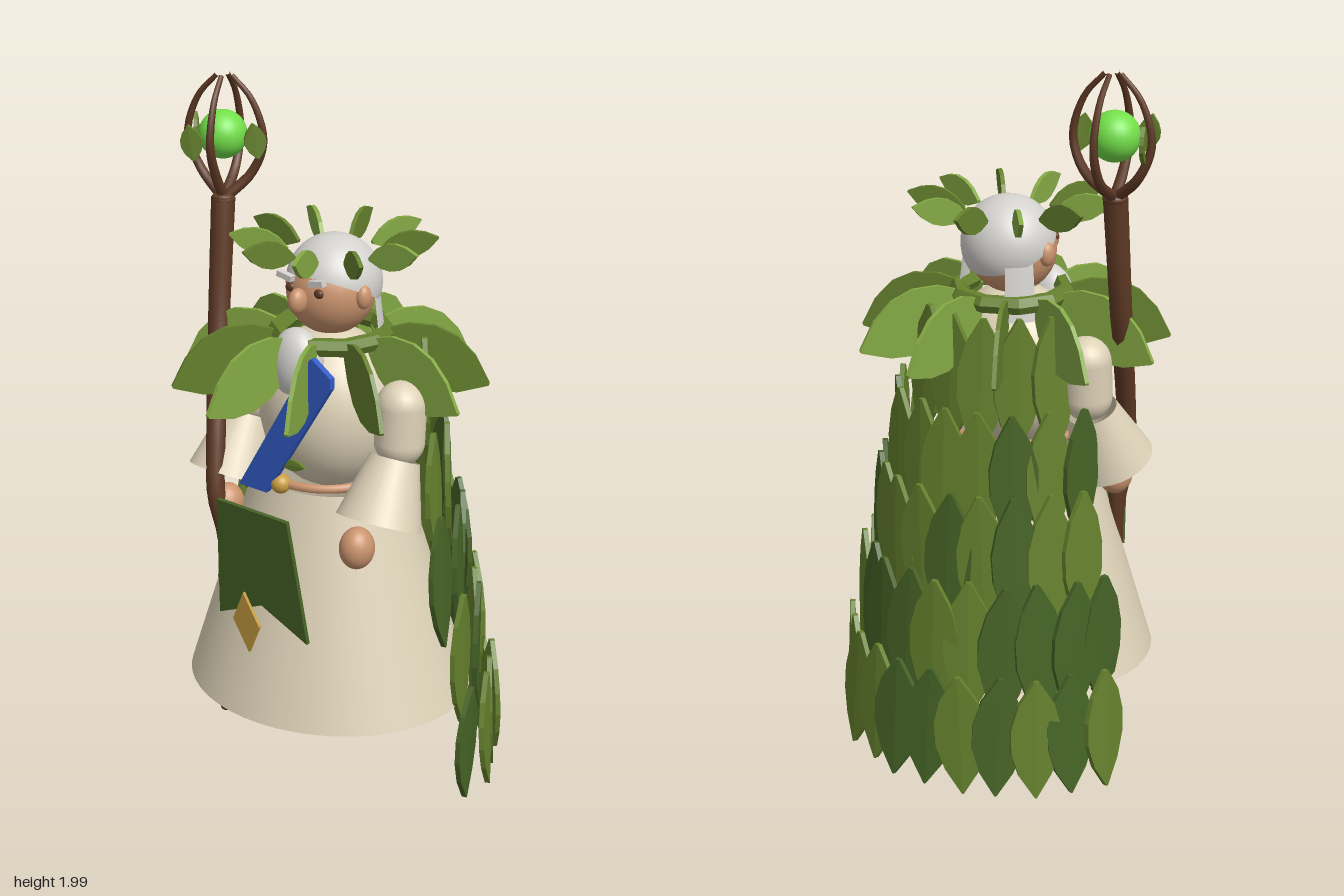
import * as THREE from 'three';
import { RoundedBoxGeometry } from 'three/addons/geometries/RoundedBoxGeometry.js';

const V = (x, y, z) => new THREE.Vector3(x, y, z);
const shapeOf = (points) => new THREE.Shape(points.map((q) => new THREE.Vector2(...q)));
const paint = (name, color, extra = {}) => {
  const m = new THREE.MeshStandardMaterial({ color, ...extra });
  m.name = name;
  return m;
};

// Leaf along y, tip at +y, thin in z, folded along its midrib
function leafGeometry(length, width, thick, fold) {
  const g = new THREE.BoxGeometry(1, 1, 1, 2, 5, 1);
  const widths = [0.1, 0.72, 1, 0.98, 0.66, 0.04];
  const p = g.attributes.position;
  for (let i = 0; i < p.count; i++) {
    const row = Math.round((p.getY(i) + 0.5) * 5);
    const x = p.getX(i) * width * widths[row];
    p.setXYZ(i, x, p.getY(i) * length, p.getZ(i) * thick - Math.abs(x) * fold);
  }
  g.computeVertexNormals();
  return g;
}

export function createModel() {
  const model = new THREE.Group();
  const cream = paint('cream cloth', 0xded2b8, { side: THREE.DoubleSide });
  const skin = paint('skin', 0xcb946e);
  const wood = paint('brown wood', 0x5f3a25);
  const grey = paint('grey hair', 0xd4d2ce, { side: THREE.DoubleSide });
  const blue = paint('blue sash', 0x315cc6);
  const gold = paint('gold', 0xcaa042);
  const glow = paint('bright green orb', 0x74e04a);
  const dark = paint('dark leaf', 0x466426, { flatShading: true });
  const mid = paint('mid leaf', 0x66822e, { flatShading: true });
  const light = paint('light leaf', 0x85aa45, { flatShading: true });

  let seed = 7;
  const rand = () => (seed = (seed * 16807) % 2147483647) / 2147483647;

  function add(name, geo, mat, x = 0, y = 0, z = 0, parent = model) {
    const m = new THREE.Mesh(geo, mat);
    m.name = name;
    m.position.set(x, y, z);
    parent.add(m);
    return m;
  }
  function ball(name, mat, x, y, z, rx, ry = rx, rz = rx) {
    const m = add(name, new THREE.SphereGeometry(1, 28, 18), mat, x, y, z);
    m.scale.set(rx, ry, rz);
    return m;
  }
  // Frustum between two points, open at the ends
  function frustum(name, mat, a, b, ra, rb) {
    const m = add(name, new THREE.CylinderGeometry(rb, ra, a.distanceTo(b), 28, 1, true), mat);
    m.position.copy(a).lerp(b, 0.5);
    m.quaternion.setFromUnitVectors(V(0, 1, 0), b.clone().sub(a).normalize());
  }
  // Tube whose radius runs from r0 to r1
  function taper(name, mat, points, r0, r1, steps, sides) {
    const curve = new THREE.CatmullRomCurve3(points);
    const g = new THREE.TubeGeometry(curve, steps, 1, sides);
    const p = g.attributes.position;
    for (let i = 0; i < p.count; i++) {
      const t = Math.floor(i / (sides + 1)) / steps;
      const c = curve.getPointAt(t);
      const v = V(0, 0, 0).fromBufferAttribute(p, i).sub(c).multiplyScalar(r0 + (r1 - r0) * t).add(c);
      p.setXYZ(i, v.x, v.y, v.z);
    }
    add(name, g, mat);
  }
  // Ring of upright leaves pointing outward; tilt is upward
  function leafRing(name, count, r, y, z, length, width, tilt, mats) {
    const geo = leafGeometry(length, width, 0.012, 0);
    const ring = new THREE.Group();
    ring.name = name;
    ring.position.set(0, y, z);
    model.add(ring);
    for (let i = 0; i < count; i++) {
      const spoke = new THREE.Group();
      spoke.rotation.y = -(i / count) * Math.PI * 2;
      ring.add(spoke);
      add('leaf', geo, mats[i % mats.length], r, 0, 0, spoke).rotation.z = tilt - Math.PI / 2;
    }
  }

  // Robe: open skirt and rounded body
  const skirt = add('robeSkirt', new THREE.CylinderGeometry(0.22, 0.425, 0.64, 48, 1, true), cream, 0, 0.605, 0.02);
  skirt.scale.z = 0.89;
  ball('robeBody', cream, 0, 1.12, 0.02, 0.202, 0.235, 0.19);

  // Belt and buckle
  const belt = add('belt', new THREE.TorusGeometry(0.183, 0.013, 8, 40), skin, 0, 0.94, 0.025);
  belt.rotation.x = Math.PI / 2;
  ball('buckle', gold, -0.01, 0.94, 0.218, 0.028);

  // Diagonal sash
  const sash = shapeOf([[-0.145, 0.91], [-0.045, 0.91], [0.185, 1.27], [0.185, 1.3], [0.125, 1.34], [0.115, 1.34]]);
  add('sash', new THREE.ExtrudeGeometry(sash, { depth: 0.018, bevelEnabled: false }), blue, 0, 0, 0.222);

  // Hanging front panel with a notched hem, and its diamond
  const panel = shapeOf([[-0.13, 0], [-0.165, -0.375], [0, -0.3], [0.158, -0.375], [0.122, 0]]);
  add('frontPanel', new THREE.ExtrudeGeometry(panel, { depth: 0.012, bevelEnabled: false }), dark, 0, 0.905, 0.338).rotation.x = 0.11;
  const diamond = shapeOf([[-0.048, 0], [0, -0.097], [0.048, 0], [0, 0.097]]);
  add('diamond', new THREE.ExtrudeGeometry(diamond, { depth: 0.009, bevelEnabled: false }), gold, -0.005, 0.575, 0.368).rotation.x = 0.11;

  // Arms, hands and boots
  for (const s of [-1, 1]) {
    const arm = add('upperSleeve', new THREE.CapsuleGeometry(0.07, 0.1, 8, 24), cream, s * 0.268, 1.135, 0.042);
    arm.rotation.x = -0.06;
    frustum('flaredSleeve', cream, V(s * 0.268, 1.04, 0.065), V(s * 0.272, 0.875, 0.138), 0.07, 0.12);
    ball('hand', skin, s * 0.238, 0.808, 0.19, 0.048, 0.06, 0.052);
    add('boot', new RoundedBoxGeometry(0.118, 0.1, 0.24, 2, 0.03), wood, s * 0.122, 0.265, 0.06);
    add('leg', new THREE.CylinderGeometry(0.05, 0.05, 0.2, 12), wood, s * 0.122, 0.38, 0);
  }

  // Head, hair and beard
  ball('head', skin, 0, 1.455, 0.012, 0.124);
  const hair = add('hairCap', new THREE.SphereGeometry(0.133, 32, 20, 0, Math.PI * 2, 0, Math.PI * 0.54), grey, 0, 1.475, -0.002);
  hair.rotation.x = -0.45;
  for (const s of [-1, 1]) {
    const start = s > 0 ? Math.PI * 0.56 : Math.PI * 1.24;
    add('sideHair', new THREE.CylinderGeometry(0.122, 0.145, 0.19, 10, 1, true, start, Math.PI * 0.2), grey, 0, 1.38, -0.002);
    ball('ear', skin, s * 0.125, 1.46, 0.025, 0.02, 0.034, 0.024);
    ball('eye', wood, s * 0.05, 1.478, 0.124, 0.015, 0.013, 0.01);
    add('brow', new THREE.BoxGeometry(0.05, 0.016, 0.02), grey, s * 0.055, 1.512, 0.137).rotation.z = s * 0.18;
  }
  ball('nose', skin, 0, 1.455, 0.153, 0.024, 0.036, 0.03);
  ball('beard', grey, 0, 1.275, 0.155, 0.08, 0.105, 0.062);

  // Leaf crown, collar band and collar leaves
  leafRing('crown', 10, 0.205, 1.582, 0, 0.165, 0.074, 0.25, [light, mid]);
  const band = add('collarBand', new THREE.TorusGeometry(0.152, 0.026, 6, 10), mid, 0, 1.335, 0.01);
  band.rotation.x = Math.PI / 2;
  leafRing('collar', 11, 0.285, 1.265, 0.015, 0.34, 0.18, -0.42, [light, mid, light]);
  const sprig = add('beltSprig', leafGeometry(0.09, 0.03, 0.01, 0.1), mid, 0.04, 1.01, 0.225);
  sprig.rotation.z = -1.5;

  // Leaf cloak: [centre y, radius, leaf count, leaf width, leaf length]
  const cloak = new THREE.Group();
  cloak.name = 'leafCloak';
  cloak.scale.x = 1.05;
  model.add(cloak);
  const rows = [
    [0.185, 0.447, 14, 0.142, 0.355], [0.42, 0.4, 13, 0.14, 0.4], [0.66, 0.352, 12, 0.135, 0.4],
    [0.89, 0.303, 10, 0.132, 0.38], [1.14, 0.24, 8, 0.13, 0.38],
  ];
  const greens = [mid, dark, mid, mid, dark];
  rows.forEach(([y, r, count, width, length], k) => {
    const geo = leafGeometry(length, width, 0.014, 0.08);
    for (let i = 0; i < count; i++) {
      const spoke = new THREE.Group();
      const t = (i + 0.5 + (k % 2 ? 0.2 : -0.2)) / count;
      spoke.rotation.y = Math.PI / 2 + t * Math.PI;
      cloak.add(spoke);
      const hang = new THREE.Group();
      hang.position.set(0, y, r + (i % 2) * 0.012);
      hang.rotation.set(0.03 - rand() * 0.09, 0.1 + rand() * 0.12, (rand() - 0.5) * 0.1);
      spoke.add(hang);
      add('cloakLeaf', geo, greens[Math.floor(rand() * 5)], 0, 0, 0, hang).rotation.z = Math.PI;
    }
  });

  // Staff with a caged orb
  const staffPath = [V(-0.17, 0.21, 0.28), V(-0.22, 0.7, 0.215), V(-0.238, 0.85, 0.235), V(-0.262, 1, 0.205), V(-0.325, 1.3, 0.115), V(-0.35, 1.66, 0.058)];
  taper('staff', wood, staffPath, 0.02, 0.034, 36, 10);
  ball('staffFoot', wood, -0.17, 0.212, 0.28, 0.02, 0.012, 0.02);
  ball('staffHead', wood, -0.35, 1.655, 0.058, 0.034, 0.02, 0.034);
  ball('orb', glow, -0.37, 1.83, 0.032, 0.068);
  for (let i = 0; i < 4; i++) {
    const a = (i / 4) * Math.PI * 2 - 0.35;
    const ring = (r, y) => V(-0.367 + Math.cos(a) * r, y, 0.025 + Math.sin(a) * r);
    taper('cageProng', wood, [V(-0.35, 1.655, 0.055), ring(0.075, 1.725), ring(0.112, 1.82), ring(0.08, 1.93), ring(0.022, 1.995)], 0.016, 0.007, 18, 7);
  }
  for (const [x, z, yaw] of [[-0.475, 0.03, -0.9], [-0.262, 0.02, 0.9], [-0.385, 0.145, 0.5]]) {
    add('staffLeaf', leafGeometry(0.1, 0.06, 0.011, 0.1), mid, x, 1.825, z).rotation.set(0, yaw, 0.15);
  }

  return model;
}
